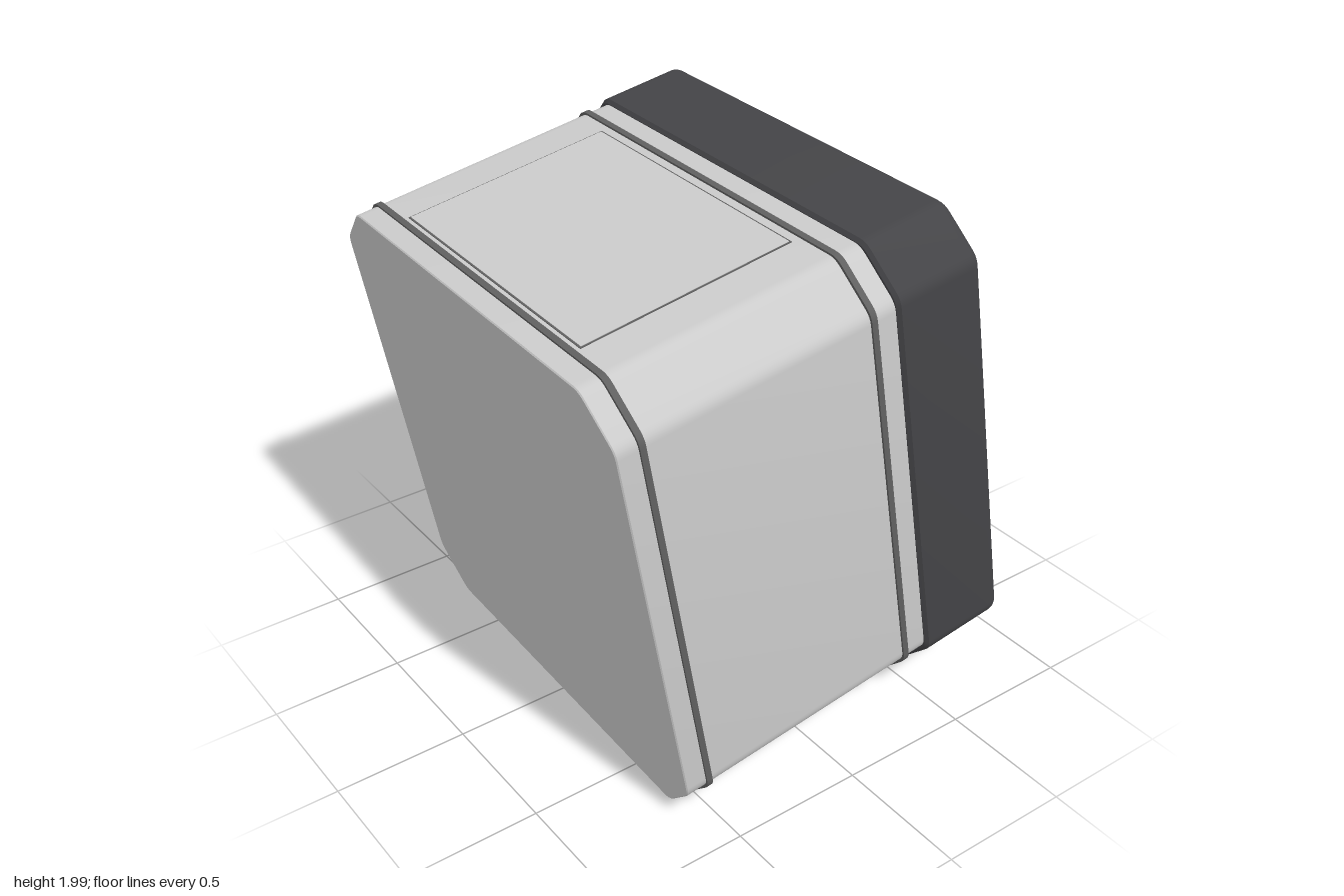
import * as THREE from 'three';
import { toCreasedNormals } from 'three/addons/utils/BufferGeometryUtils.js';

const CENTER_Y = 0.995;

// Chamfered square in the y/z plane with softened corners, counter-clockwise seen from +x
function outline(half, chamfer, soft = 0.03) {
  const k = half - chamfer;
  const c = [[half, -k], [half, k], [k, half], [-k, half], [-half, k], [-half, -k], [-k, -half], [k, -half]]
    .map(p => new THREE.Vector2(...p));
  const pts = [];
  c.forEach((p, i) => {
    const toward = q => q.clone().sub(p).setLength(soft).add(p);
    const curve = new THREE.QuadraticBezierCurve(toward(c[(i + 7) % 8]), p, toward(c[(i + 1) % 8]));
    pts.push(...curve.getPoints(4));
  });
  return pts;
}

// Closed loft along x through sections of [x, inset from the outer outline]
function loft(half, sections) {
  const pos = [], idx = [];
  let n = 0;
  sections.forEach(([x, inset]) => {
    const pts = outline(half - inset, 0.15 - 0.586 * inset);
    n = pts.length;
    pts.forEach(p => pos.push(x, p.x, p.y));
  });
  for (let i = 0; i < sections.length - 1; i++) {
    for (let j = 0; j < n; j++) {
      const a = i * n + j, b = i * n + (j + 1) % n;
      idx.push(a, b, b + n, a, b + n, a + n);
    }
  }
  const last = (sections.length - 1) * n;
  for (let j = 1; j < n - 1; j++) {
    idx.push(0, j + 1, j);
    idx.push(last, last + j, last + j + 1);
  }
  const g = new THREE.BufferGeometry();
  g.setAttribute('position', new THREE.Float32BufferAttribute(pos, 3));
  g.setIndex(idx);
  return toCreasedNormals(g, 0.45);
}

export function createModel() {
  const model = new THREE.Group();
  const unit = new THREE.Group();
  unit.name = 'tiltedCase';
  // the whole case leans back and turns slightly
  unit.rotation.set(0, THREE.MathUtils.degToRad(-1.8), THREE.MathUtils.degToRad(10), 'YXZ');
  model.add(unit);

  const light = new THREE.MeshStandardMaterial({ color: 0xcccccc });
  const dark = new THREE.MeshStandardMaterial({ color: 0x444447 });
  const rubber = new THREE.MeshStandardMaterial({ color: 0x505053 });
  const trim = new THREE.MeshStandardMaterial({ color: 0x606060 });

  const add = (name, geometry, material, x, y, z) => {
    const mesh = new THREE.Mesh(geometry, material);
    mesh.name = name;
    mesh.position.set(x, y, z);
    unit.add(mesh);
    return mesh;
  };

  // light main shell
  add('shell', loft(0.885, [[-0.557, 0.004], [-0.553, 0], [0.52, 0]]), light, 0, CENTER_Y, 0);

  // two raised trim bands around the shell
  for (const x of [-0.468, 0.398]) {
    add('trimBand', loft(0.893, [[x - 0.011, 0], [x + 0.011, 0]]), trim, 0, CENTER_Y, 0);
  }

  // dark base cap with rounded edges
  const r = 0.04, sections = [[0.487, 0.012], [0.499, 0]];
  for (let i = 0; i <= 5; i++) {
    const a = (i / 5) * Math.PI / 2;
    sections.push([0.835 - r + r * Math.sin(a), r - r * Math.cos(a)]);
  }
  add('baseCap', loft(0.9, sections), dark, 0, CENTER_Y, 0);

  // thin raised panel with a fine seam on the upper side
  add('panelSeam', new THREE.BoxGeometry(0.794, 0.01, 1.12), trim, -0.042, CENTER_Y + 0.8825, 0);
  add('panel', new THREE.BoxGeometry(0.782, 0.012, 1.108), light, -0.042, CENTER_Y + 0.8835, 0);

  // four stepped feet on the base cap
  const profile = [[0, -0.02], [0.112, -0.02], [0.112, 0.035], [0.118, 0.04], [0.118, 0.062],
    [0.092, 0.092], [0, 0.095]].map(p => new THREE.Vector2(...p));
  const footGeometry = toCreasedNormals(new THREE.LatheGeometry(profile, 40), 0.45);
  for (const sy of [-1, 1]) {
    for (const sz of [-1, 1]) {
      const foot = add('foot', footGeometry, rubber, 0.835, CENTER_Y + sy * 0.632, sz * 0.632);
      foot.rotation.z = -Math.PI / 2;
    }
  }

  // light connector block below the base cap
  add('connectorBlock', new THREE.BoxGeometry(0.276, 0.2, 0.61), light, 0.664, 0.036, 0);

  return model;
}
